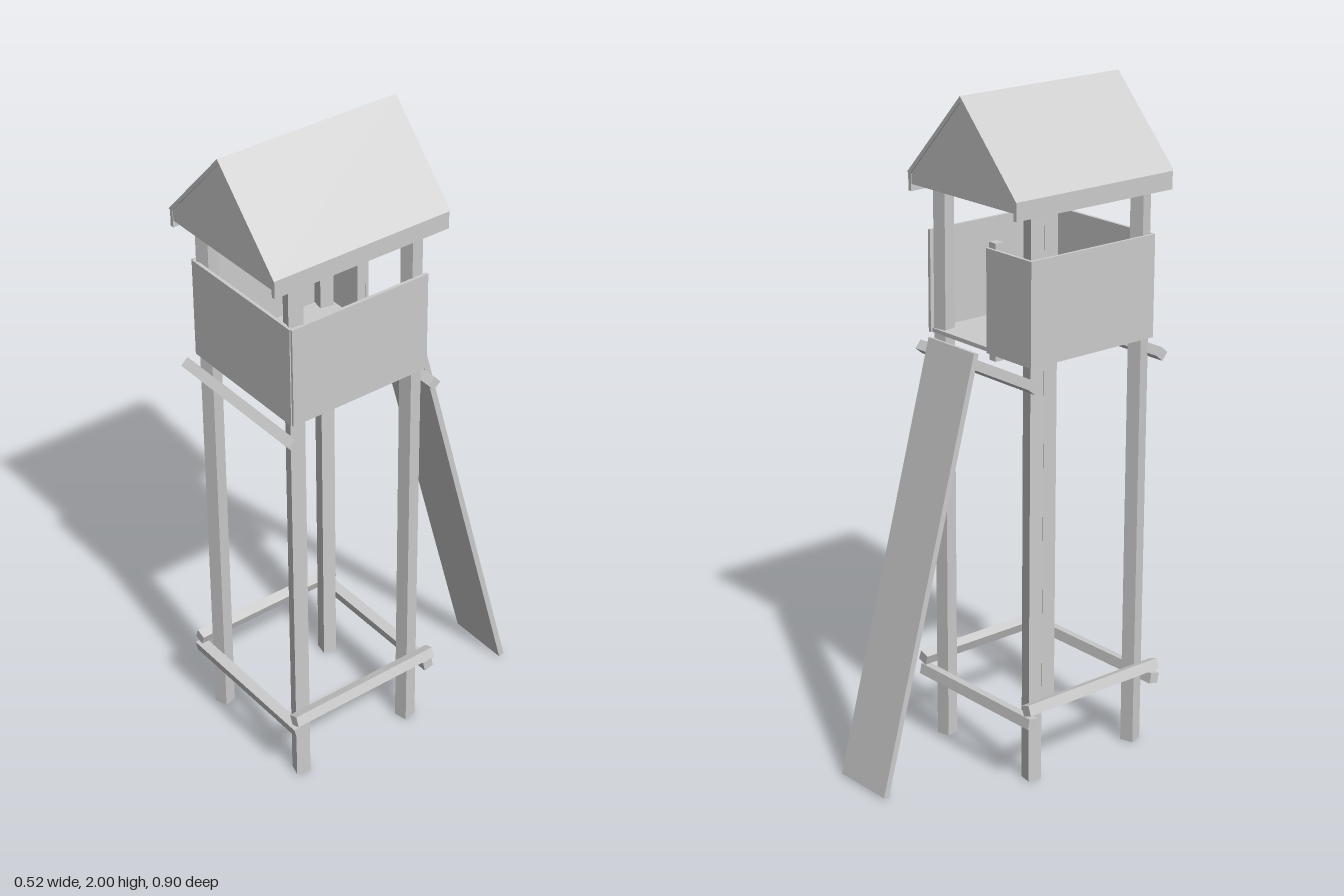
import * as THREE from 'three';

const material = new THREE.MeshStandardMaterial({ color: 0xcccccc, flatShading: true });

export function createModel() {
  const tower = new THREE.Group();
  tower.name = 'lookoutTower';

  const add = (name, geometry, x, y, z) => {
    const mesh = new THREE.Mesh(geometry, material);
    mesh.name = name;
    mesh.position.set(x, y, z);
    tower.add(mesh);
    return mesh;
  };
  const box = (name, w, h, d, x, y, z) => add(name, new THREE.BoxGeometry(w, h, d), x, y, z);

  // Four square posts, each turned a little about its own axis
  for (const sx of [-1, 1]) {
    for (const [z, turn] of [[0.362, 0.3], [-0.032, -0.2]]) {
      box('post', 0.042, 1.745, 0.042, sx * 0.195, 0.8725, z).rotation.y = -sx * turn;
    }
  }

  // Cross beams along the front and back, low ones and high ones
  for (const z of [0.403, -0.077]) {
    box('upperBeam', 0.5, 0.03, 0.03, -0.003, 1.226, z).rotation.x = 0.7;
    box('lowerBeam', 0.5, 0.032, 0.032, -0.003, 0.208, z).rotation.x = 0.2;
  }

  // Low beams along the sides
  for (const sx of [-1, 1]) {
    box('sideBeam', 0.032, 0.032, 0.505, sx * 0.238, 0.248, 0.163).rotation.z = sx * 0.35;
  }

  // Cabin floor and wall panels; the back wall leaves an entrance
  box('floor', 0.43, 0.012, 0.445, 0, 1.279, 0.163);
  box('frontWall', 0.44, 0.303, 0.01, 0, 1.424, 0.389);
  box('backWall', 0.19, 0.303, 0.01, -0.132, 1.424, -0.064);
  box('entrancePost', 0.028, 0.34, 0.028, -0.053, 1.422, -0.046);
  for (const sx of [-1, 1]) {
    box('sideWall', 0.01, 0.303, 0.455, sx * 0.222, 1.424, 0.163);
  }

  // Sloping ramp up to the entrance
  const foot = new THREE.Vector2(-0.44, 0.003);
  const head = new THREE.Vector2(-0.1, 1.275);
  const run = head.clone().sub(foot);
  box('ramp', 0.203, run.length(), 0.018, 0.071, (foot.y + head.y) / 2, (foot.x + head.x) / 2)
    .rotation.x = Math.atan2(run.x, run.y);

  // Two roof slopes, cut as one thin folded section
  const section = new THREE.Shape([
    [-0.235, 1.75], [-0.222, 1.747], [0, 1.983], [0.222, 1.747], [0.235, 1.75], [0, 2],
  ].map(([x, y]) => new THREE.Vector2(x, y)));
  add('roof', new THREE.ExtrudeGeometry(section, { depth: 0.58, bevelEnabled: false }), 0, 0, -0.13);

  // Eaves boards
  for (const sx of [-1, 1]) {
    box('eavesBoard', 0.012, 0.055, 0.575, sx * 0.227, 1.724, 0.16);
  }

  // Gable panels closing both ends
  const gable = new THREE.Shape([
    [-0.221, 1.717], [0.221, 1.717], [0.221, 1.748], [0, 1.985], [-0.221, 1.748],
  ].map(([x, y]) => new THREE.Vector2(x, y)));
  for (const z of [-0.126, 0.436]) {
    add('gable', new THREE.ExtrudeGeometry(gable, { depth: 0.01, bevelEnabled: false }), 0, 0, z);
  }

  return tower;
}
